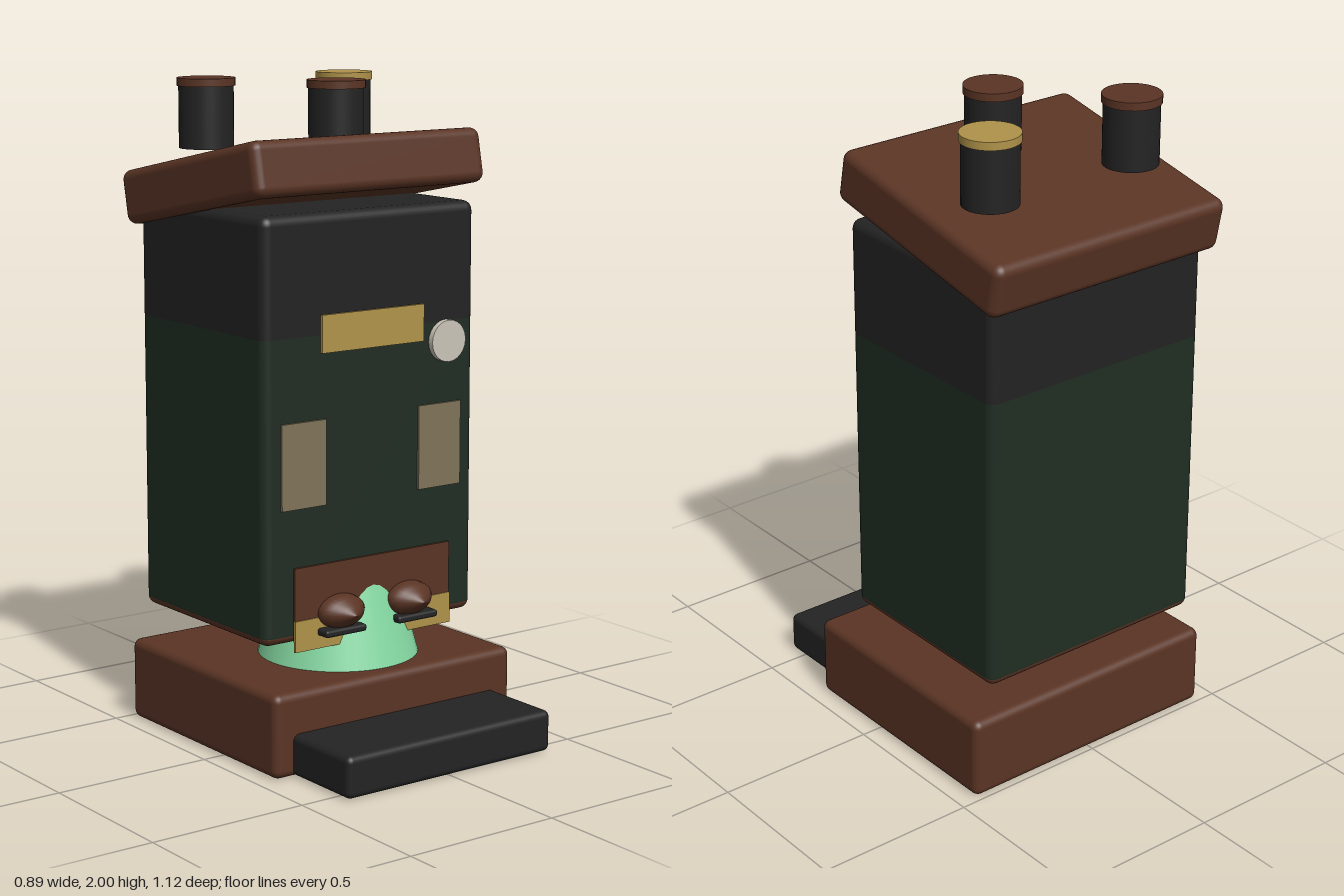
import * as THREE from 'three';
import { RoundedBoxGeometry } from 'three/addons/geometries/RoundedBoxGeometry.js';

export function createModel() {
  const model = new THREE.Group();
  model.name = 'chimneyTower';

  const paint = (name, color) => {
    const m = new THREE.MeshStandardMaterial({ color });
    m.name = name;
    return m;
  };
  const brown = paint('brown', 0x5a3424);
  const black = paint('black', 0x232324);
  const green = paint('darkGreen', 0x202d23);
  const mint = paint('mint', 0x86d9a3);
  const gold = paint('gold', 0xb0934a);
  const tan = paint('tan', 0x80745a);
  const cream = paint('cream', 0xcac5b8);

  const add = (name, geometry, material, x = 0, y = 0, z = 0) => {
    const mesh = new THREE.Mesh(geometry, material);
    mesh.name = name;
    mesh.position.set(x, y, z);
    model.add(mesh);
    return mesh;
  };

  // Soft-edged box given by its extents, centred on x
  const block = (name, material, halfX, y0, y1, z0, z1, r = 0.025) =>
    add(name, new RoundedBoxGeometry(halfX * 2, y1 - y0, z1 - z0, 3, r), material,
      0, (y0 + y1) / 2, (z0 + z1) / 2);

  // Thin plate on the front wall
  const plate = (name, material, x0, x1, y0, y1, z, depth = 0.008) =>
    add(name, new THREE.BoxGeometry(x1 - x0, y1 - y0, depth), material,
      (x0 + x1) / 2, (y0 + y1) / 2, z);

  // Base and front step
  block('base', brown, 0.445, 0, 0.255, -0.49, 0.292);
  block('frontStep', black, 0.38, 0.003, 0.13, 0.25, 0.56, 0.02);

  // Flared neck that widens down to the base and pokes through the front wall
  add('neck', new THREE.CylinderGeometry(0.14, 0.248, 0.4, 48), mint, 0, 0.45, -0.005);

  // One soft-edged tower cut into three colour bands
  const tower = (name, material, low, high) => {
    const bottom = 0.36, top = 1.632;
    const g = new RoundedBoxGeometry(0.782, top - bottom, 0.657, 4, 0.03);
    const p = g.attributes.position;
    const mid = (top + bottom) / 2;
    for (let i = 0; i < p.count; i++) {
      p.setY(i, THREE.MathUtils.clamp(p.getY(i), low - mid, high - mid));
    }
    add(name, g, material, 0, mid, -0.1635);
  };
  tower('towerFoot', brown, 0.36, 0.385);
  tower('towerWall', green, 0.385, 1.275);
  tower('towerCrown', black, 1.275, 1.632);

  // Roof slab, sloping down to the back
  const roof = block('roof', brown, 0.42, 1.617, 1.783, -0.552, 0.178, 0.03);
  roof.rotation.x = -0.2;

  // Chimney pots with caps
  for (const [x, z, cap] of [[-0.258, -0.32, brown], [0.256, -0.32, gold], [0, -0.013, brown]]) {
    add('chimneyPot', new THREE.CylinderGeometry(0.083, 0.083, 0.19, 32), black, x, 1.885, z);
    add('chimneyCap', new THREE.CylinderGeometry(0.088, 0.088, 0.024, 32), cap, x, 1.988, z);
  }

  // Sign and round dial
  plate('sign', gold, -0.19, 0.188, 1.222, 1.335, 0.172);
  const dial = add('dial', new THREE.CylinderGeometry(0.064, 0.064, 0.02, 24), cream, 0.278, 1.215, 0.174);
  dial.rotation.x = Math.PI / 2;

  // Lower panel and its trim
  plate('panel', brown, -0.29, 0.29, 0.36, 0.59, 0.172);
  plate('panelTrim', gold, -0.292, 0.292, 0.335, 0.43, 0.175);

  // Pointed oval knob profile, apex along +z once turned
  const knobProfile = [[0.074, -0.03], [0.08, 0], [0.077, 0.02], [0.062, 0.038], [0.033, 0.062], [0, 0.084]]
    .map(([r, h]) => new THREE.Vector2(r, h));

  for (const side of [-1, 1]) {
    // Windows
    plate('window', tan, side * 0.253 - 0.08, side * 0.253 + 0.08, 0.767, 1.025, 0.169);

    // Knobs on small dark shelves
    const knob = new THREE.LatheGeometry(knobProfile, 24).rotateX(Math.PI / 2).scale(1, 0.65, 1);
    add('knob', knob, brown, side * 0.128, 0.44, 0.18);
    add('knobShelf', new RoundedBoxGeometry(0.15, 0.022, 0.06, 2, 0.008), black,
      side * 0.135, 0.386, 0.195);
  }

  return model;
}
